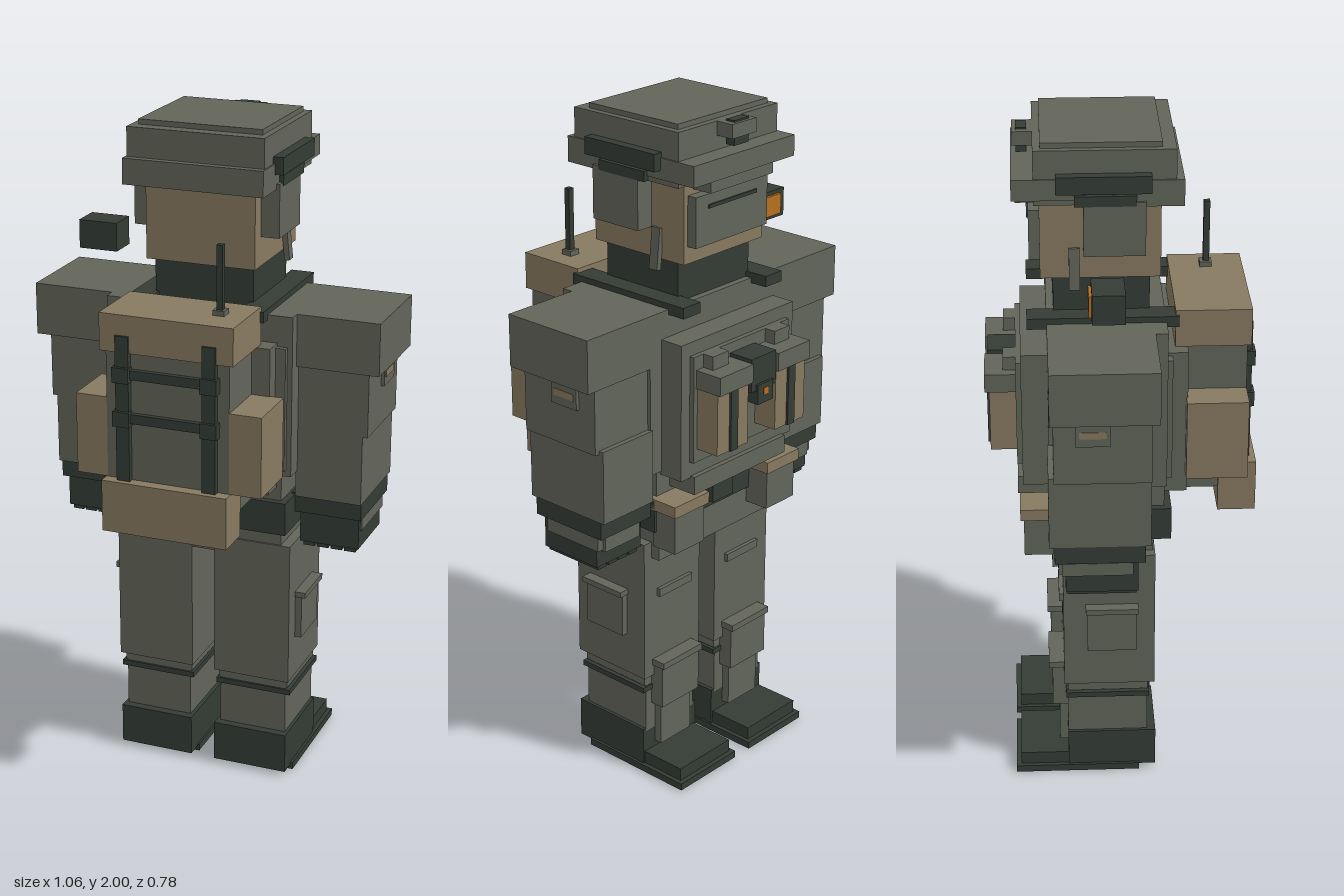
import * as THREE from 'three';

const mat = (name, color) => {
  const m = new THREE.MeshStandardMaterial({ color });
  m.name = name;
  return m;
};

export function createModel() {
  const root = new THREE.Group();
  root.name = 'soldier';
  const cloth = mat('grey green cloth', 0x62655a);
  const tan = mat('tan', 0x887a60);
  const dark = mat('dark green', 0x343c35);
  const orange = mat('orange lens', 0xb8701f);

  const section = (name) => {
    const g = new THREE.Group();
    g.name = name;
    root.add(g);
    return g;
  };
  // Box given by its limits on each axis
  const box = (g, name, m, x0, x1, y0, y1, z0, z1) => {
    const mesh = new THREE.Mesh(new THREE.BoxGeometry(x1 - x0, y1 - y0, z1 - z0), m);
    mesh.position.set((x0 + x1) / 2, (y0 + y1) / 2, (z0 + z1) / 2);
    mesh.name = name;
    g.add(mesh);
    return mesh;
  };
  // Box centred on x = 0
  const mid = (g, name, m, w, ...r) => box(g, name, m, -w, w, ...r);
  // The same box on the left (+x) and on the right (-x)
  const pair = (g, name, m, x0, x1, ...r) => {
    box(g, name + 'Left', m, x0, x1, ...r);
    box(g, name + 'Right', m, -x1, -x0, ...r);
  };

  // Head and face, which looks toward -z
  const head = section('head');
  mid(head, 'neck', dark, 0.15, 1.48, 1.6, -0.19, 0.08);
  mid(head, 'face', tan, 0.165, 1.6, 1.84, -0.225, 0.11);
  mid(head, 'faceMask', cloth, 0.15, 1.65, 1.795, -0.255, -0.185);
  mid(head, 'maskVent', dark, 0.1, 1.755, 1.765, -0.26, -0.25);
  pair(head, 'earCover', cloth, 0.16, 0.22, 1.685, 1.84, -0.105, 0.065);
  [-1, 1].forEach((s) => {
    const strap = box(head, 'chinStrap', cloth, s * 0.173 - 0.008, s * 0.173 + 0.008, 1.57, 1.69, -0.145, -0.115);
    strap.rotation.z = s * 0.1;
  });

  // Helmet
  const helmet = section('helmet');
  mid(helmet, 'crown', cloth, 0.205, 1.83, 1.985, -0.24, 0.148);
  mid(helmet, 'topPlate', cloth, 0.185, 1.98, 2, -0.22, 0.11);
  mid(helmet, 'rearBand', cloth, 0.21, 1.825, 1.9, -0.1, 0.17);
  mid(helmet, 'brim', cloth, 0.21, 1.845, 1.905, -0.3, -0.1);
  mid(helmet, 'browPad', cloth, 0.13, 1.81, 1.845, -0.29, -0.2);
  pair(helmet, 'sideRail', dark, 0.2, 0.235, 1.87, 1.92, -0.18, 0.08);
  pair(helmet, 'railClip', dark, 0.2, 0.222, 1.83, 1.86, -0.13, 0.04);
  mid(helmet, 'mountPlate', cloth, 0.05, 1.945, 1.985, -0.295, -0.235);
  mid(helmet, 'mountHook', dark, 0.03, 1.92, 1.99, -0.285, -0.255);

  // Torso and vest
  const torso = section('torso');
  mid(torso, 'chest', cloth, 0.285, 1.0, 1.48, -0.21, 0.125);
  mid(torso, 'waist', cloth, 0.255, 0.88, 1.0, -0.205, 0.12);
  pair(torso, 'shoulderStrap', dark, 0.14, 0.21, 1.465, 1.497, -0.265, 0.16);
  mid(torso, 'vestFront', cloth, 0.24, 0.99, 1.4, -0.285, -0.2);
  mid(torso, 'vestPanel', cloth, 0.205, 1.04, 1.36, -0.3, -0.28);
  mid(torso, 'vestHem', cloth, 0.2, 0.94, 0.995, -0.3, -0.2);
  mid(torso, 'backPanel', cloth, 0.24, 0.96, 1.4, 0.12, 0.185);
  pair(torso, 'backStrap', cloth, 0.235, 0.27, 1.02, 1.39, 0.1, 0.14);

  // Chest gear
  const gear = section('chestGear');
  pair(gear, 'magazinePouch', tan, 0.06, 0.19, 1.08, 1.28, -0.375, -0.3);
  pair(gear, 'pouchFlap', cloth, 0.055, 0.195, 1.265, 1.32, -0.388, -0.3);
  pair(gear, 'pouchStrap', dark, 0.11, 0.14, 1.08, 1.265, -0.382, -0.37);
  pair(gear, 'chestClip', cloth, 0.1, 0.165, 1.28, 1.36, -0.335, -0.29);
  mid(gear, 'centreDevice', dark, 0.053, 1.23, 1.33, -0.38, -0.3);
  mid(gear, 'deviceButton', dark, 0.033, 1.19, 1.25, -0.388, -0.34);
  mid(gear, 'deviceLight', orange, 0.01, 1.215, 1.235, -0.39, -0.385);

  // Belt and pelvis
  const hips = section('hips');
  mid(hips, 'belt', dark, 0.275, 0.82, 0.92, -0.215, 0.14);
  mid(hips, 'buckle', dark, 0.045, 0.84, 0.9, -0.235, -0.2);
  mid(hips, 'pelvis', cloth, 0.245, 0.715, 0.83, -0.205, 0.09);
  pair(hips, 'beltPouch', cloth, 0.14, 0.265, 0.77, 0.89, -0.285, -0.2);
  pair(hips, 'beltPouchFlap', tan, 0.13, 0.275, 0.89, 0.925, -0.295, -0.19);

  // Arms and gloves
  const arms = section('arms');
  pair(arms, 'shoulderPad', cloth, 0.28, 0.53, 1.325, 1.48, -0.21, 0.09);
  pair(arms, 'upperArm', cloth, 0.28, 0.495, 1.13, 1.33, -0.2, 0.07);
  pair(arms, 'forearm', cloth, 0.28, 0.48, 0.92, 1.14, -0.215, 0.07);
  pair(arms, 'armPatch', cloth, 0.49, 0.505, 1.25, 1.315, -0.14, -0.045);
  pair(arms, 'patchStripe', tan, 0.5, 0.507, 1.275, 1.295, -0.13, -0.055);
  pair(arms, 'cuff', dark, 0.265, 0.477, 0.865, 0.925, -0.2, 0.055);
  pair(arms, 'glove', dark, 0.285, 0.465, 0.765, 0.87, -0.17, 0.035);
  pair(arms, 'knuckleGuard', cloth, 0.31, 0.45, 0.815, 0.86, -0.19, -0.16);
  pair(arms, 'handGuard', cloth, 0.45, 0.47, 0.82, 0.86, -0.18, 0.02);
  for (let i = 0; i < 4; i++) {
    const x = 0.295 + i * 0.042;
    pair(arms, 'finger' + (i + 1), dark, x, x + 0.034, 0.752, 0.77, -0.165, 0.03);
  }

  // Legs
  const legs = section('legs');
  pair(legs, 'thigh', cloth, 0.035, 0.275, 0.32, 0.765, -0.175, 0.095);
  pair(legs, 'trouserHem', cloth, 0.045, 0.265, 0.29, 0.325, -0.165, 0.075);
  pair(legs, 'thighSeam', cloth, 0.08, 0.22, 0.58, 0.605, -0.187, -0.17);
  pair(legs, 'hipPocket', cloth, 0.08, 0.22, 0.72, 0.76, -0.19, -0.17);
  pair(legs, 'cargoPocket', cloth, 0.27, 0.295, 0.45, 0.59, -0.105, 0.04);
  pair(legs, 'cargoFlap', cloth, 0.27, 0.308, 0.583, 0.6, -0.11, 0.045);
  pair(legs, 'shin', cloth, 0.05, 0.26, 0.13, 0.3, -0.165, 0.075);
  pair(legs, 'shinStrap', dark, 0.038, 0.275, 0.27, 0.287, -0.17, 0.08);
  pair(legs, 'kneePad', cloth, 0.075, 0.235, 0.22, 0.36, -0.21, -0.16);
  pair(legs, 'kneeRidge', cloth, 0.07, 0.24, 0.355, 0.375, -0.22, -0.16);
  pair(legs, 'shinGuard', cloth, 0.09, 0.22, 0.08, 0.23, -0.19, -0.15);
  pair(legs, 'boot', dark, 0.038, 0.27, 0.015, 0.14, -0.165, 0.1);
  pair(legs, 'toe', dark, 0.045, 0.265, 0.015, 0.062, -0.31, -0.16);
  pair(legs, 'sole', dark, 0.032, 0.278, 0, 0.022, -0.325, 0.05);

  // Backpack with straps, pouches and antenna
  const pack = section('backpack');
  mid(pack, 'packBody', cloth, 0.185, 0.94, 1.41, 0.15, 0.355);
  mid(pack, 'packLid', tan, 0.2, 1.4, 1.51, 0.15, 0.365);
  mid(pack, 'lowerPouch', tan, 0.19, 0.865, 1.02, 0.28, 0.39);
  pair(pack, 'sidePouch', tan, 0.18, 0.28, 1.02, 1.26, 0.18, 0.355);
  pair(pack, 'packStrap', dark, 0.11, 0.15, 1.02, 1.45, 0.35, 0.373);
  [1.195, 1.325].forEach((y) => {
    mid(pack, 'crossStrap', dark, 0.15, y, y + 0.028, 0.35, 0.37);
    pair(pack, 'strapBuckle', dark, 0.107, 0.157, y - 0.01, y + 0.035, 0.355, 0.382);
  });
  box(pack, 'antennaBase', cloth, 0.103, 0.138, 1.5, 1.525, 0.24, 0.275);
  box(pack, 'antenna', dark, 0.112, 0.13, 1.51, 1.71, 0.25, 0.268);

  // Signal lamp above the right shoulder
  const lamp = section('shoulderLamp');
  box(lamp, 'lampHousing', dark, -0.427, -0.308, 1.575, 1.66, -0.09, 0);
  box(lamp, 'lampLens', orange, -0.405, -0.328, 1.587, 1.648, -0.098, -0.089);

  return root;
}
